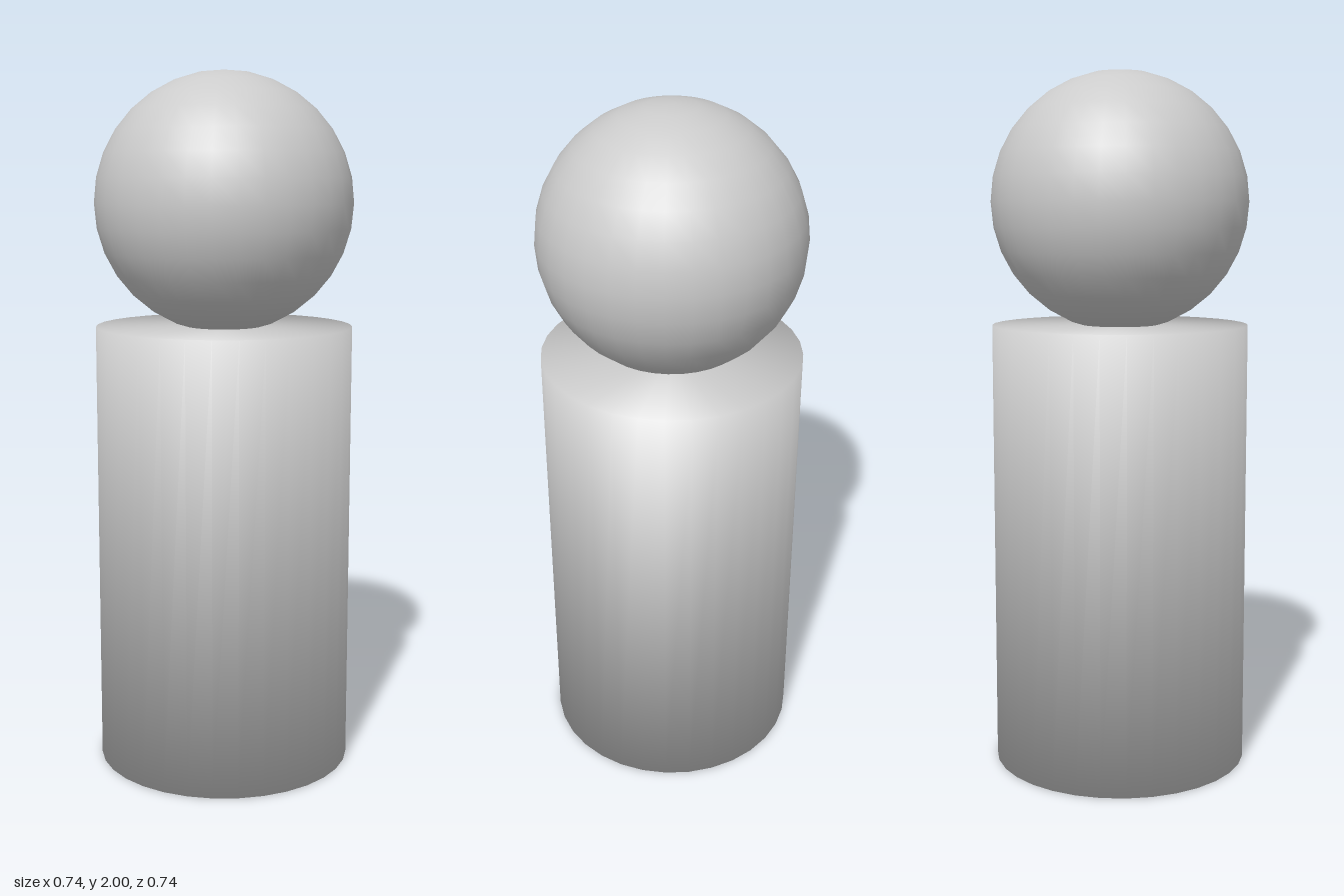
import * as THREE from 'three';

const RADIUS = 0.368;
const BODY_HEIGHT = 1.283;
const SIDES = 32;

export function createModel() {
  const model = new THREE.Group();
  model.name = 'pegFigure';
  const material = new THREE.MeshStandardMaterial({ color: 0xcccccc });

  // Body: closed cylinder, normals blended across the rims
  const bodyGeometry = new THREE.CylinderGeometry(RADIUS, RADIUS, BODY_HEIGHT, SIDES);
  const { position, normal } = bodyGeometry.attributes;
  const n = new THREE.Vector3();
  for (let i = 0; i < position.count; i++) {
    n.fromBufferAttribute(position, i);
    n.y = Math.sign(n.y) * RADIUS;
    n.normalize();
    normal.setXYZ(i, n.x, n.y, n.z);
  }
  const body = new THREE.Mesh(bodyGeometry, material);
  body.name = 'body';
  body.position.y = BODY_HEIGHT / 2;
  model.add(body);

  // Head: ball sunk slightly into the top of the body
  const head = new THREE.Mesh(new THREE.SphereGeometry(RADIUS, SIDES, SIDES / 2), material);
  head.name = 'head';
  head.position.y = 2 - RADIUS;
  model.add(head);

  return model;
}
